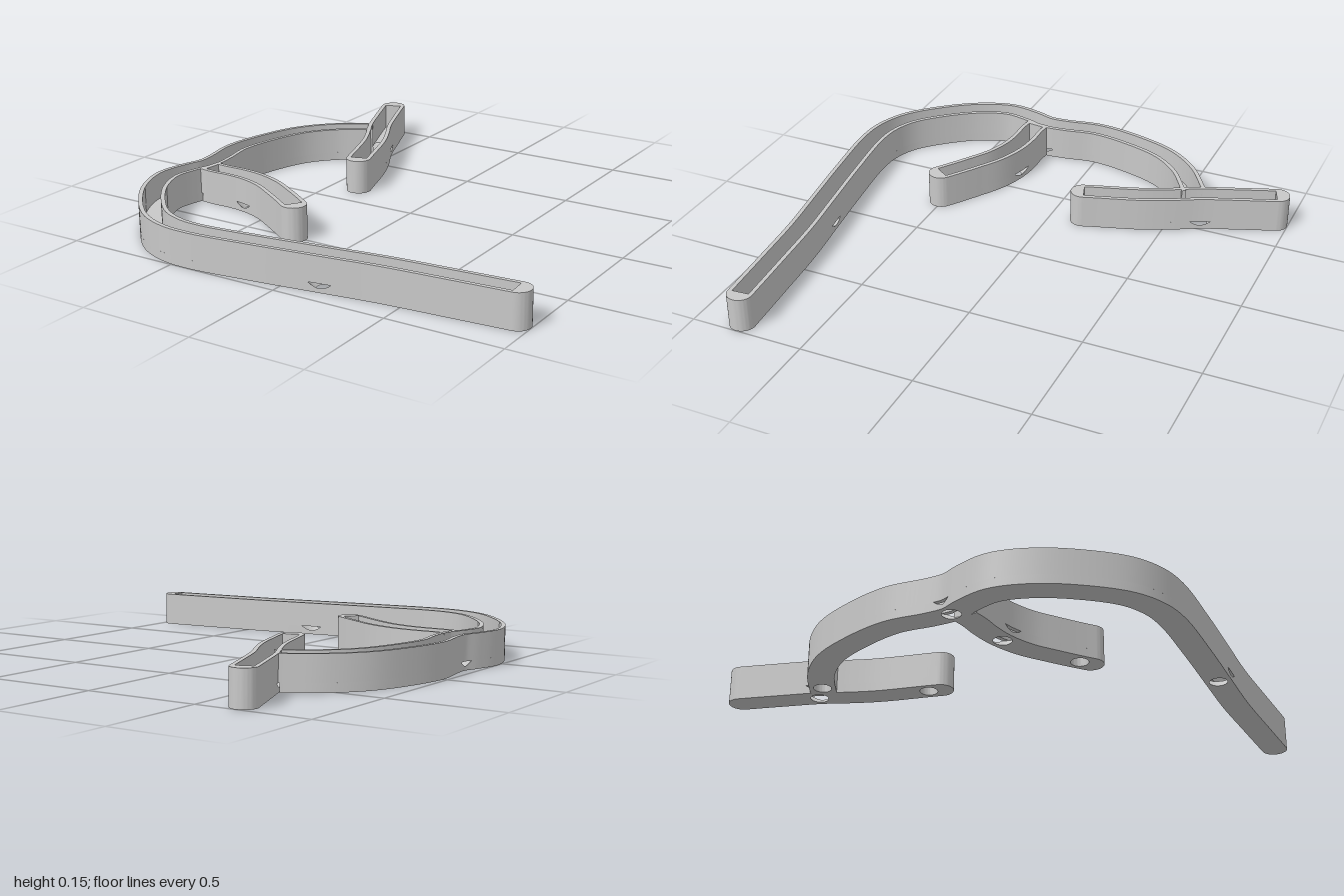
import * as THREE from 'three';
import { mergeGeometries, toCreasedNormals } from 'three/addons/utils/BufferGeometryUtils.js';

const W = 0.055;      // half width of a channel
const INNER = 0.037;  // half width of the groove
const H = 0.15;       // full height
const FLOOR = 0.038;  // floor thickness
const HOLE = 0.037;   // through hole radius
const SINK = 0.074;   // countersink radius at floor level

// Straight box running from s0 to s1, later bent along the path
function run(s0, s1, y0, y1, v0, v1) {
  const n = Math.max(1, Math.ceil((s1 - s0) / 0.02));
  const g = new THREE.BoxGeometry(s1 - s0, y1 - y0, v1 - v0, n, 1, 1);
  return g.translate((s0 + s1) / 2, (y0 + y1) / 2, (v0 + v1) / 2);
}

// Rectangular floor tile with a round hole; a countersink also cuts the sides
function holeTile(s, half, R) {
  const angles = [];
  for (let i = 0; i < 64; i++) angles.push((i / 64) * Math.PI * 2);
  const corner = Math.atan2(W, half);
  const clip = R > W ? Math.asin(W / R) : corner;
  for (const a of [corner, clip]) angles.push(a, Math.PI - a, Math.PI + a, 2 * Math.PI - a);
  const sorted = [...new Set(angles)].sort((a, b) => a - b);
  const pos = [], uv = [], index = [], rings = 6;
  for (const a of sorted) {
    const c = Math.cos(a), k = Math.sin(a);
    const D = Math.min(half / Math.max(Math.abs(c), 1e-6), W / Math.max(Math.abs(k), 1e-6));
    const m = Math.min(R, D);
    const top = R > HOLE ? FLOOR * (m - HOLE) / (R - HOLE) : FLOOR;
    for (const [r, y] of [[D, 0], [HOLE, 0], [HOLE, 0], [m, top], [D, top], [D, 0]]) {
      pos.push(s + r * c, y, r * k);
      uv.push(0, 0);
    }
  }
  const n = sorted.length;
  for (let i = 0; i < n; i++) {
    for (let j = 0; j < rings - 1; j++) {
      const a = i * rings + j, d = ((i + 1) % n) * rings + j;
      index.push(a, d, a + 1, a + 1, d, d + 1);
    }
  }
  const g = new THREE.BufferGeometry();
  g.setAttribute('position', new THREE.Float32BufferAttribute(pos, 3));
  g.setAttribute('uv', new THREE.Float32BufferAttribute(uv, 2));
  g.setIndex(index);
  g.computeVertexNormals();
  return g;
}

// Solid half-round end
function cap(s, start) {
  return new THREE.CylinderGeometry(W, W, H, 24, 1, false, start ? Math.PI : 0, Math.PI)
    .translate(s, H / 2, 0);
}

function makeChannel(name, material, { points, holes, startCap, endCap, startExtra = 0, endExtra = 0, endWall }) {
  const curve = new THREE.CatmullRomCurve3(points.map(([x, z]) => new THREE.Vector3(x, 0, z)));
  curve.arcLengthDivisions = 1500;
  const len = curve.getLength();

  // Bend a straight geometry (x along, z across) onto the path
  const bend = (g) => {
    const p = g.attributes.position;
    for (let i = 0; i < p.count; i++) {
      const s = p.getX(i), v = p.getZ(i);
      const u = Math.min(1, Math.max(0, s / len));
      const c = curve.getPointAt(u), t = curve.getTangentAt(u);
      const over = s - u * len;
      p.setXYZ(i, c.x + t.x * over - t.z * v, p.getY(i), c.z + t.z * over + t.x * v);
    }
    return g;
  };
  // Distance along the path of the point nearest to x, z
  const locate = (x, z) => {
    let best = 0, min = Infinity;
    for (let i = 0; i <= 3000; i++) {
      const c = curve.getPointAt(i / 3000);
      const d = Math.hypot(c.x - x, c.z - z);
      if (d < min) { min = d; best = i / 3000; }
    }
    return best * len;
  };

  // Floor: plain runs between the hole tiles
  const floor = [];
  let from = 0;
  const tiles = holes.map(([x, z, sunk]) => ({ s: locate(x, z), sunk })).sort((a, b) => a.s - b.s);
  for (const { s, sunk } of tiles) {
    const half = sunk ? SINK + 0.004 : 0.04;
    if (s - half > from) floor.push(run(from, s - half, 0, FLOOR, -W, W));
    floor.push(holeTile(s, half, sunk ? SINK : HOLE));
    from = s + half;
  }
  if (len > from) floor.push(run(from, len, 0, FLOOR, -W, W));

  // Side walls and closed ends
  const walls = [
    run(-startExtra, len + endExtra, FLOOR, H, INNER, W),
    run(-startExtra, len + endExtra, FLOOR, H, -W, -INNER),
  ];
  if (startCap) walls.push(cap(0, true), run(0, 0.004, FLOOR, H, -W, W));
  if (endCap) walls.push(cap(len, false), run(len - 0.004, len, FLOOR, H, -W, W));
  if (endWall) walls.push(run(-startExtra, 0.012, FLOOR, H, -W, W));

  const group = new THREE.Group();
  group.name = name;
  for (const [part, list] of [['Floor', floor], ['Walls', walls]]) {
    const mesh = new THREE.Mesh(toCreasedNormals(bend(mergeGeometries(list)), 0.5), material);
    mesh.name = name + part;
    group.add(mesh);
  }
  return group;
}

export function createModel() {
  const grey = new THREE.MeshStandardMaterial({ color: 0xc8c8c8 });
  grey.name = 'lightGrey';
  const model = new THREE.Group();
  model.name = 'channelFrame';

  // Long sweeping channel
  model.add(makeChannel('mainChannel', grey, {
    points: [
      [0.944, 0.799], [0.674, 0.82], [0.406, 0.842], [0.16, 0.875], [-0.128, 0.914],
      [-0.422, 0.944], [-0.545, 0.932], [-0.666, 0.88], [-0.804, 0.747], [-0.9, 0.607],
      [-0.945, 0.468], [-0.926, 0.345], [-0.899, 0.257], [-0.904, 0.163], [-0.928, 0.008],
      [-0.898, -0.184], [-0.834, -0.361], [-0.731, -0.486], [-0.59, -0.581],
    ],
    holes: [[0.16, 0.875, true], [-0.899, 0.257, true], [-0.628, -0.555, false]],
    startCap: true, endExtra: 0.02,
  }));

  // Short curved branch
  model.add(makeChannel('branchChannel', grey, {
    points: [
      [-0.856, 0.291], [-0.8, 0.297], [-0.717, 0.296], [-0.615, 0.308], [-0.503, 0.346],
      [-0.396, 0.409], [-0.294, 0.475], [-0.254, 0.503],
    ],
    holes: [[-0.613, 0.308, true], [-0.294, 0.475, false]],
    endCap: true, endWall: true, startExtra: 0.012,
  }));

  // Cross bar at the back end
  model.add(makeChannel('crossChannel', grey, {
    points: [
      [-0.679, -0.944], [-0.62, -0.789], [-0.556, -0.628], [-0.492, -0.505],
      [-0.444, -0.398], [-0.378, -0.195], [-0.362, -0.147],
    ],
    holes: [[-0.556, -0.626, true], [-0.377, -0.195, false]],
    startCap: true, endCap: true,
  }));
  return model;
}
